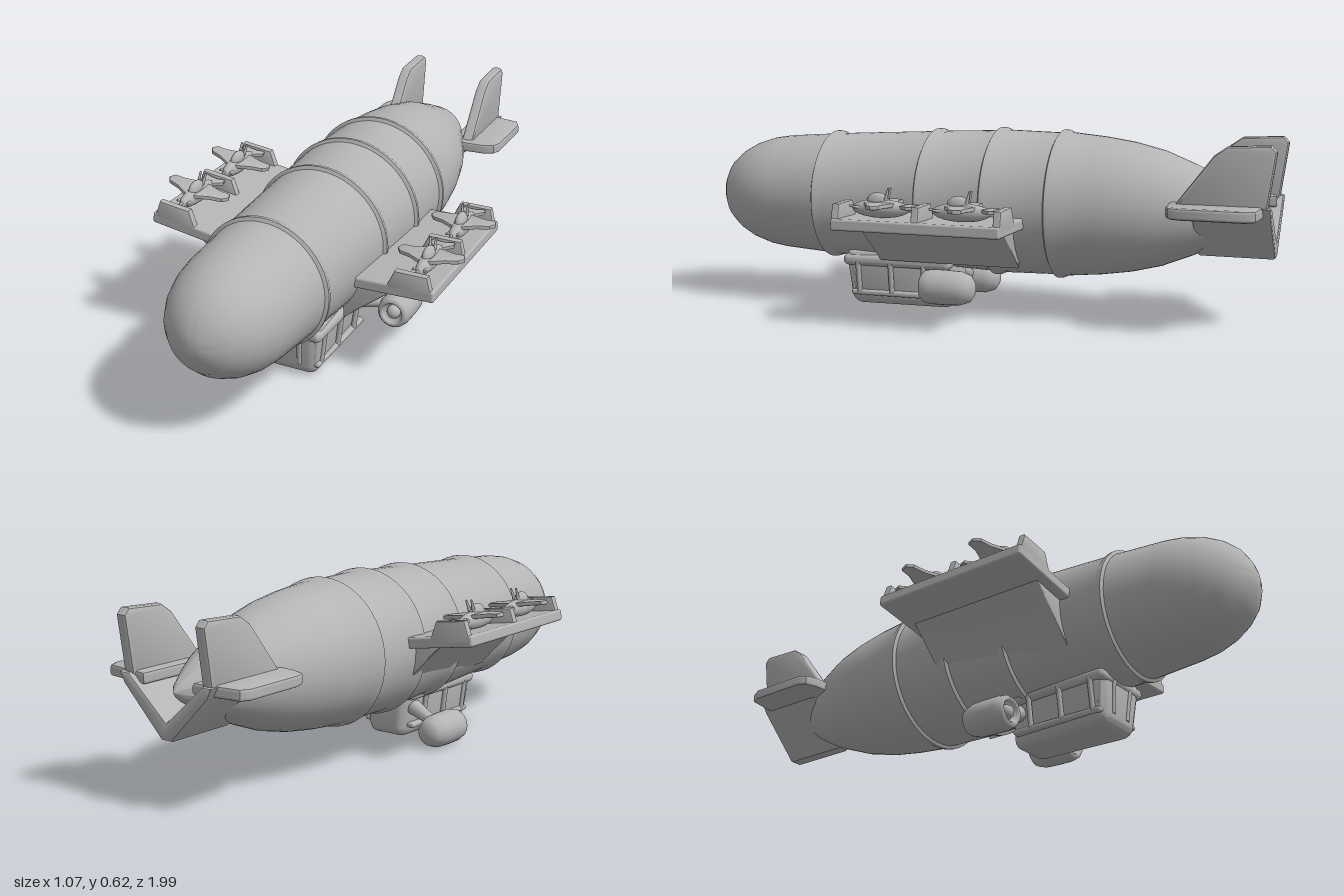
import * as THREE from 'three';
import { RoundedBoxGeometry } from 'three/addons/geometries/RoundedBoxGeometry.js';
import { toCreasedNormals } from 'three/addons/utils/BufferGeometryUtils.js';

const grey = new THREE.MeshStandardMaterial({ color: 0xb4b4b4 });
grey.name = 'plain grey';

function add(parent, name, geometry, x = 0, y = 0, z = 0) {
  const mesh = new THREE.Mesh(geometry, grey);
  mesh.name = name;
  mesh.position.set(x, y, z);
  parent.add(mesh);
  return mesh;
}

function group(parent, name, x = 0, y = 0, z = 0) {
  const g = new THREE.Group();
  g.name = name;
  g.position.set(x, y, z);
  parent.add(g);
  return g;
}

// Bevelled slab of a 2D outline, centred on its thickness
function slab(points, depth, bevel = 0.006) {
  const shape = new THREE.Shape(points.map(([x, y]) => new THREE.Vector2(x, y)));
  const geo = new THREE.ExtrudeGeometry(shape, {
    depth: depth - 2 * bevel, bevelEnabled: bevel > 0, bevelThickness: bevel,
    bevelSize: bevel, bevelOffset: -bevel, bevelSegments: 2,
  });
  geo.translate(0, 0, -(depth - 2 * bevel) / 2);
  return toCreasedNormals(geo, 0.6);
}
const plan = (points, depth, bevel) => slab(points, depth, bevel).rotateX(Math.PI / 2);   // outline in x, z
const profile = (points, depth, bevel) => slab(points, depth, bevel).rotateY(-Math.PI / 2); // outline in z, y

function lathe(points, segments) {
  const geo = new THREE.LatheGeometry(points.map(([r, z]) => new THREE.Vector2(r, z)), segments);
  return geo.rotateX(Math.PI / 2);
}

function strut(parent, name, from, to, r1, r2) {
  const a = new THREE.Vector3(...from), b = new THREE.Vector3(...to);
  const mesh = add(parent, name, new THREE.CylinderGeometry(r2, r1, a.distanceTo(b), 14));
  mesh.position.copy(a).lerp(b, 0.5);
  mesh.quaternion.setFromUnitVectors(new THREE.Vector3(0, 1, 0), b.sub(a).normalize());
}

// Envelope with raised seams between its panels
function hull(parent) {
  const keys = [[0, -0.95], [0.03, -0.92], [0.07, -0.86], [0.105, -0.8], [0.15, -0.7], [0.19, -0.6],
    [0.215, -0.5], [0.23, -0.4], [0.243, -0.26], [0.245, -0.04], [0.235, 0.19], [0.216, 0.57],
    [0.2, 0.75], [0.191, 0.81], [0.172, 0.87], [0.145, 0.92], [0.11, 0.96], [0.07, 0.985], [0.035, 0.999], [0, 1.005]];
  const seams = [-0.26, -0.04, 0.19, 0.57];
  const points = keys.flatMap(([r, z]) => seams.includes(z)
    ? [[r - 0.002, z - 0.025], [r + 0.006, z - 0.008], [r + 0.007, z + 0.004], [r - 0.004, z + 0.01]]
    : [[r, z]]);
  add(parent, 'hull', toCreasedNormals(lathe(points, 48), 0.7), 0, 0.374, 0);
}

// Small parked aircraft
function fighter(parent, x, y, z) {
  const g = group(parent, 'fighter', x, y, z);
  add(g, 'fighterBody', new THREE.SphereGeometry(1, 14, 10).scale(0.027, 0.03, 0.1));
  add(g, 'canopy', new THREE.SphereGeometry(1, 12, 8).scale(0.018, 0.03, 0.04), 0, 0.022, 0.01);
  const half = [[0.02, 0.05], [0.06, 0.025], [0.1, 0.012], [0.115, -0.01], [0.105, -0.035], [0.07, -0.035], [0.02, -0.05]];
  const both = (pts) => [...pts, ...pts.map(([px, pz]) => [-px, pz]).reverse()];
  add(g, 'fighterWings', plan(both(half), 0.014, 0.004), 0, 0.014, 0);
  add(g, 'tailplane', plan(both([[0.015, -0.07], [0.042, -0.1], [0.036, -0.12], [0.012, -0.112]]), 0.012, 0.003), 0, 0.008, 0);
  for (const s of [-1, 0, 1]) {
    strut(g, 'prong', [s * 0.01, 0, 0.05], [s * 0.02, 0.005, s ? 0.09 : 0.11], 0.007, 0.004);
    if (s) strut(g, 'fighterFin', [s * 0.008, 0.03, -0.02], [s * 0.01, 0.068, -0.03], 0.006, 0.003);
  }
}

// Landing platform with dividers; s is +1 for left, -1 for right
function platform(parent, s, y, z, tilt) {
  const g = group(parent, s > 0 ? 'leftPlatform' : 'rightPlatform', s * 0.485, y, z);
  g.rotation.z = tilt;
  add(g, 'deck', new RoundedBoxGeometry(0.32, 0.038, 0.57, 2, 0.008), -s * 0.16, 0.019, 0);
  for (const dz of [-0.272, 0, 0.272]) {
    const outline = [[-0.005, 0.01], [-0.02, 0.085], [-0.13, 0.088], [-0.165, 0.02]];
    add(g, 'divider', slab(outline.map(([px, py]) => [px * s, py]), 0.026), 0, 0, dz);
  }
  const wedge = [[-0.13, 0.01], [-0.33, 0.01], [-0.33, -0.14], [-0.28, -0.1]];
  add(g, 'brace', slab(wedge.map(([px, py]) => [px * s, py]), 0.5), 0, 0, 0);
  for (const dz of [-0.137, 0.137]) fighter(g, -s * 0.073, 0.07, dz);
}

// Tapered cabin with window frames and a rounded stern
function gondola(parent) {
  const g = group(parent, 'gondola', 0.025, 0, 0.29);
  const wide = (y) => 0.094 + 0.13 * Math.min(y, 0.2);
  const geo = new RoundedBoxGeometry(0.2, 0.2, 0.37, 6, 0.035);
  const p = geo.attributes.position;
  for (let i = 0; i < p.count; i++) {
    const y = p.getY(i) + 0.1, z = p.getZ(i);
    const stern = z < -0.1 ? 1 - 0.25 * (-0.1 - z) / 0.085 : 1;
    p.setXYZ(i, p.getX(i) * wide(y) * 10 * stern, y + 0.006, z + (z > 0 ? 0.1 * y : 0));
  }
  geo.computeVertexNormals();
  add(g, 'cabin', toCreasedNormals(geo, 0.6));
  add(g, 'cabinSill', new RoundedBoxGeometry(0.215, 0.02, 0.34, 2, 0.009), 0, 0.05, 0.01);
  add(g, 'cabinRoof', new RoundedBoxGeometry(0.245, 0.04, 0.39, 3, 0.018), 0, 0.165, 0.01);
  for (const s of [-1, 1]) {
    for (const z of [-0.09, 0.03, 0.15])
      strut(g, 'sideFrame', [s * 0.1, 0.05, z], [s * 0.115, 0.16, z], 0.009, 0.009);
    strut(g, 'frontFrame', [s * 0.04, 0.05, 0.186], [s * 0.048, 0.16, 0.198], 0.009, 0.009);
    strut(g, 'cornerFrame', [s * 0.088, 0.05, 0.17], [s * 0.1, 0.16, 0.182], 0.01, 0.01);
  }
}

// Engine pod with an open intake and hub
function engine(parent, name, x, y, z, anchor) {
  const g = group(parent, name, x, y, z);
  const shell = [[0, -0.092], [0.025, -0.09], [0.045, -0.076], [0.056, -0.045], [0.058, 0], [0.058, 0.055],
    [0.053, 0.08], [0.044, 0.09], [0.036, 0.084], [0.032, 0.065], [0, 0.06]];
  add(g, 'pod', lathe(shell, 28));
  add(g, 'hub', new THREE.SphereGeometry(0.024, 16, 12), 0, 0, 0.068);
  strut(parent, name + 'Strut', anchor, [x, y, z], 0.028, 0.014);
}

// Twin upright fins, side plates and a V-shaped keel
function tail(parent) {
  const g = group(parent, 'tail', 0.015, 0, 0);
  for (const s of [-1, 1]) {
    const fin = [[-0.65, 0.39], [-0.79, 0.575], [-0.83, 0.603], [-0.965, 0.61], [-0.983, 0.59], [-0.955, 0.39]];
    add(g, 'uprightFin', profile(fin, 0.042, 0.012), s * 0.16, 0, 0);
    const plate = [[0.1, -0.64], [0.23, -0.65], [0.268, -0.665], [0.282, -0.7], [0.282, -0.9], [0.265, -0.935], [0.1, -0.955]];
    add(g, 'sidePlate', plan(plate.map(([px, pz]) => [px * s, pz]), 0.038, 0.01), 0, 0.4, 0);
  }
  const vee = [[-0.19, 0.415], [-0.15, 0.415], [0, 0.285], [0.15, 0.415], [0.19, 0.415], [0.17, 0.38], [0.02, 0.23], [-0.02, 0.23], [-0.17, 0.38]];
  add(g, 'keelVee', slab(vee, 0.25, 0.008), 0, 0, -0.845);
}

export function createModel() {
  const model = new THREE.Group();
  model.name = 'airship';
  const ship = group(model, 'ship', 0.015, 0, 0);
  ship.rotation.y = -0.11;
  hull(ship);
  platform(ship, 1, 0.324, 0.1, 0.03);
  platform(ship, -1, 0.428, 0.17, -0.15);
  gondola(ship);
  engine(ship, 'leftEngine', 0.245, 0.112, 0.07, [0.1, 0.125, 0.14]);
  engine(ship, 'rightEngine', -0.205, 0.062, 0.13, [-0.07, 0.115, 0.15]);
  tail(ship);
  return model;
}
